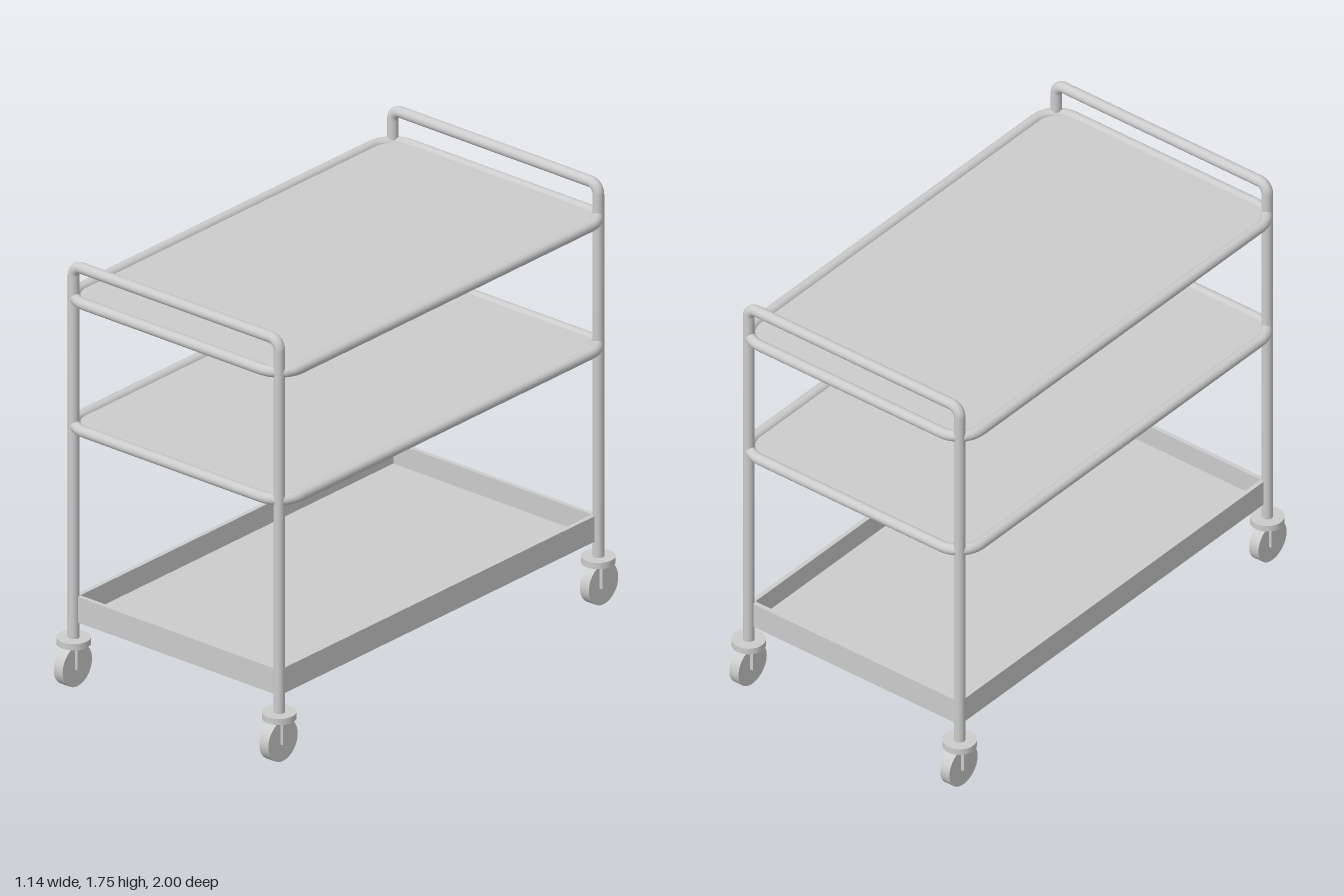
import * as THREE from 'three';

const LEG_X = 0.507, LEG_Z = 0.912, TUBE = 0.022;
const mat = new THREE.MeshStandardMaterial({ color: 0xcccccc });

function add(parent, name, geometry, x = 0, y = 0, z = 0) {
  const mesh = new THREE.Mesh(geometry, mat);
  mesh.name = name;
  mesh.position.set(x, y, z);
  parent.add(mesh);
  return mesh;
}

// straight tube between two points in the local XY plane
function bar(parent, name, x0, y0, x1, y1) {
  const length = Math.hypot(x1 - x0, y1 - y0);
  const mesh = add(parent, name, new THREE.CylinderGeometry(TUBE, TUBE, length, 20), (x0 + x1) / 2, (y0 + y1) / 2);
  mesh.rotation.z = Math.atan2(y1 - y0, x1 - x0) - Math.PI / 2;
}

// quarter bend around a centre, starting at the given angle
function bend(parent, x, y, r, angle) {
  add(parent, 'tubeBend', new THREE.TorusGeometry(r, TUBE, 20, 12, Math.PI / 2), x, y).rotation.z = angle;
}

function roundedRect(w, h, r) {
  const s = new THREE.Shape();
  s.absarc(w - r, h - r, r, 0, Math.PI / 2);
  s.absarc(r - w, h - r, r, Math.PI / 2, Math.PI);
  s.absarc(r - w, r - h, r, Math.PI, Math.PI * 1.5);
  s.absarc(w - r, r - h, r, Math.PI * 1.5, Math.PI * 2);
  s.closePath();
  return s;
}

// two legs joined by a push handle
function endFrame(z) {
  const g = new THREE.Group();
  g.name = z > 0 ? 'frontFrame' : 'backFrame';
  const top = 1.725, r = 0.04, foot = 0.175;
  bar(g, 'leftLeg', LEG_X, foot, LEG_X, top - r);
  bar(g, 'rightLeg', -LEG_X, foot, -LEG_X, top - r);
  bar(g, 'handle', -LEG_X + r, top, LEG_X - r, top);
  bend(g, LEG_X - r, top - r, r, 0);
  bend(g, -LEG_X + r, top - r, r, Math.PI / 2);
  g.position.z = z;
  return g;
}

// flat panel framed by a rounded tube rail
function shelf(name, y) {
  const g = new THREE.Group();
  g.name = name;
  const w = 0.541, h = 0.933, r = 0.105, t = 0.012;
  const panel = new THREE.ExtrudeGeometry(roundedRect(w, h, r), { depth: t, bevelEnabled: false, curveSegments: 12 });
  add(g, 'shelfPanel', panel, 0, 0, -t / 2);
  for (const s of [1, -1]) {
    bar(g, 'sideRail', s * w, r - h, s * w, h - r);
    bar(g, 'endRail', r - w, s * h, w - r, s * h);
  }
  bend(g, w - r, h - r, r, 0);
  bend(g, r - w, h - r, r, Math.PI / 2);
  bend(g, r - w, r - h, r, Math.PI);
  bend(g, w - r, r - h, r, Math.PI * 1.5);
  g.rotation.x = Math.PI / 2;
  g.position.y = y;
  return g;
}

// open box between the legs
function tray() {
  const g = new THREE.Group();
  g.name = 'bottomTray';
  const y0 = 0.26, height = 0.105, t = 0.018;
  add(g, 'trayFloor', new THREE.BoxGeometry(LEG_X * 2, t, LEG_Z * 2), 0, y0 + t / 2, 0);
  const wallY = y0 + height / 2;
  for (const s of [1, -1]) {
    add(g, 'traySideWall', new THREE.BoxGeometry(t, height, LEG_Z * 2), s * (LEG_X - t / 2), wallY, 0);
    add(g, 'trayEndWall', new THREE.BoxGeometry((LEG_X - t) * 2, height, t), 0, wallY, s * (LEG_Z - t / 2));
  }
  return g;
}

// swivel plate, fork and wheel
function caster(x, z) {
  const g = new THREE.Group();
  g.name = 'caster';
  const R = 0.084, wheelZ = Math.sign(z) * 0.004;
  add(g, 'swivelPlate', new THREE.CylinderGeometry(0.065, 0.065, 0.026, 32), 0, 0.182, 0);
  add(g, 'wheel', new THREE.CylinderGeometry(R, R, 0.044, 40), 0, R, wheelZ).rotation.z = Math.PI / 2;
  for (const s of [1, -1])
    add(g, 'forkArm', new THREE.BoxGeometry(0.013, 0.1, 0.036), s * 0.0285, 0.123, 0);
  add(g, 'axle', new THREE.CylinderGeometry(0.01, 0.01, 0.066, 16), 0, R, wheelZ).rotation.z = Math.PI / 2;
  g.position.set(x, 0, z);
  return g;
}

export function createModel() {
  const model = new THREE.Group();
  model.name = 'serviceTrolley';
  model.add(endFrame(LEG_Z), endFrame(-LEG_Z));
  model.add(shelf('upperShelf', 1.592), shelf('middleShelf', 1.067), tray());
  for (const x of [LEG_X, -LEG_X])
    for (const z of [LEG_Z, -LEG_Z]) model.add(caster(x, z));
  return model;
}
